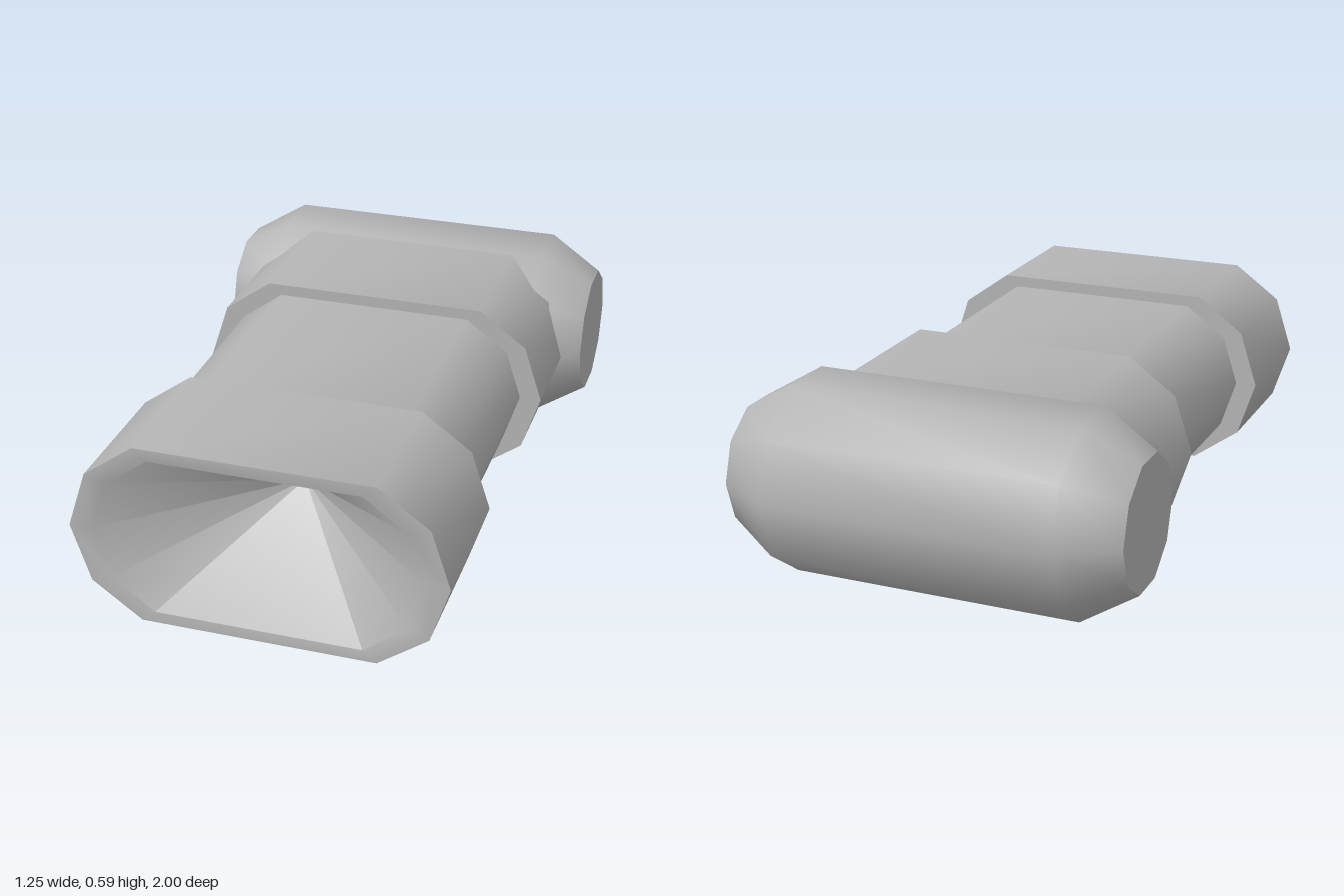
import * as THREE from 'three';
import { toCreasedNormals } from 'three/addons/utils/BufferGeometryUtils.js';

const SIDES = 10;

// Decagon split down the middle and pulled apart by `spread` on each side
function ring({ z, r, spread = 0 }) {
  const points = [];
  for (let i = 0; i < SIDES; i++) {
    const a = (i * Math.PI * 2) / SIDES;
    points.push([r * Math.cos(a) + Math.sign(Math.cos(a)) * spread, r * Math.sin(a), z]);
  }
  return points;
}

// Skin a row of rings; a ring of zero radius closes to a point
function loft(sections) {
  const rings = sections.map(ring);
  const position = [];
  for (let i = 0; i < rings.length - 1; i++) {
    for (let j = 0; j < SIDES; j++) {
      const k = (j + 1) % SIDES;
      const a = rings[i][j], b = rings[i][k], c = rings[i + 1][k], d = rings[i + 1][j];
      if (sections[i].r > 0) position.push(...a, ...b, ...c);
      if (sections[i + 1].r > 0) position.push(...a, ...c, ...d);
      else if (sections[i].r > 0) position.splice(-9, 9, ...a, ...b, ...c);
    }
  }
  const geometry = new THREE.BufferGeometry();
  geometry.setAttribute('position', new THREE.Float32BufferAttribute(position, 3));
  return toCreasedNormals(geometry, THREE.MathUtils.degToRad(50));
}

export function createModel() {
  const group = new THREE.Group();
  const grey = new THREE.MeshStandardMaterial({ color: 0xb4b4b4 });
  grey.name = 'plain grey';

  const add = (name, geometry, z = 0) => {
    const mesh = new THREE.Mesh(geometry, grey);
    mesh.name = name;
    mesh.position.set(0, 0.295, z);
    group.add(mesh);
  };

  const collar = { r: 0.303, spread: 0.262 };
  const neck = { r: 0.265, spread: 0.232 };
  const point = { r: 0, spread: 0 };

  // Open front collar with a hollow tapering to a point
  add('frontCollar', loft([
    { z: 0.56, ...neck },
    { z: 0.56, ...collar },
    { z: 1, ...collar },
    { z: 1, ...neck },
    { z: 0.56, ...point },
  ]));

  // Narrow neck between the collars
  add('neck', loft([{ z: -0.13, ...neck }, { z: 0.56, ...neck }]));

  // Rear collar running into the crosswise drum
  add('rearCollar', loft([
    { z: -0.6, ...point },
    { z: -0.6, ...collar },
    { z: -0.13, ...collar },
    { z: -0.13, ...neck },
  ]));

  // Crosswise drum with bevelled ends
  const drum = loft([
    { z: -0.623, r: 0 },
    { z: -0.623, r: 0.205 },
    { z: -0.455, r: 0.31 },
    { z: 0.455, r: 0.31 },
    { z: 0.623, r: 0.205 },
    { z: 0.623, r: 0 },
  ]);
  drum.rotateY(Math.PI / 2);
  add('crossDrum', drum, -0.69);

  return group;
}
